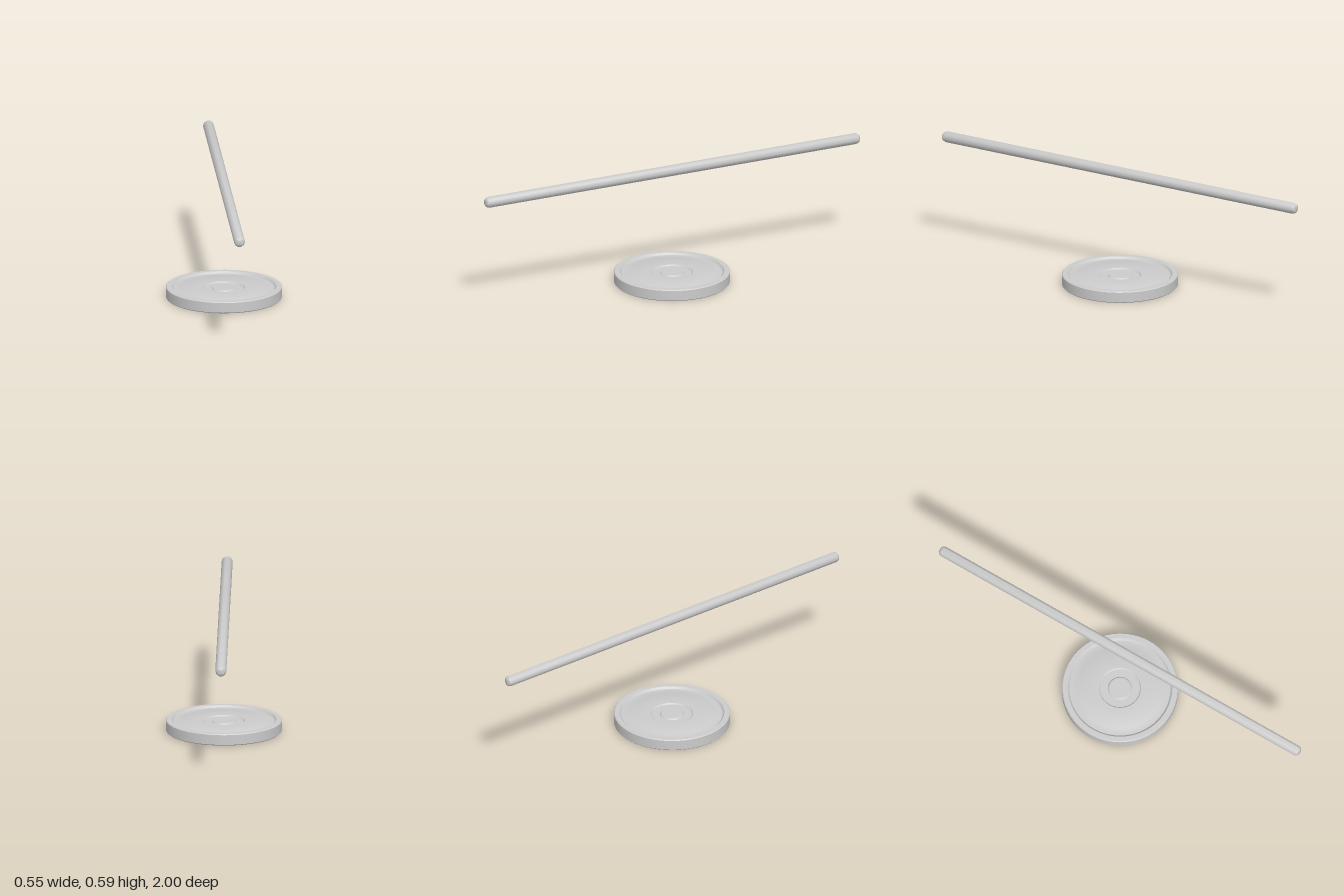
import * as THREE from 'three';
import { toCreasedNormals } from 'three/addons/utils/BufferGeometryUtils.js';

const material = new THREE.MeshStandardMaterial({ color: 0xcccccc });

// Turns a half profile [radius, height above the middle], listed from the
// centre outwards, into a solid that is mirrored top to bottom.
function turned(name, half, sides, start, crease) {
  const lower = half.map(([r, h]) => new THREE.Vector2(r, -h));
  const upper = half.map(([r, h]) => new THREE.Vector2(r, h)).reverse();
  const lathe = new THREE.LatheGeometry([...lower, ...upper], sides, start);
  const mesh = new THREE.Mesh(toCreasedNormals(lathe, crease), material);
  mesh.name = name;
  return mesh;
}

export function createModel() {
  const model = new THREE.Group();
  model.name = 'barAndWeightPlate';

  // Weight plate lying flat: hub, groove, panel, outer groove, raised rim
  const plate = turned('weightPlate', [
    [0, 0.021], [0.052, 0.021], [0.058, 0.015],
    [0.095, 0.015], [0.101, 0.021],
    [0.2, 0.021], [0.207, 0.018],
    [0.241, 0.018], [0.25, 0.028],
    [0.273, 0.028], [0.277, 0.024],
  ], 64, 0, 0.5);
  plate.position.y = 0.028;
  model.add(plate);

  // Ten-sided bar with rounded ends, running front to back above the plate
  const bar = turned('bar', [
    [0, 1], [0.0135, 1], [0.022, 0.994], [0.0265, 0.982],
  ], 10, Math.PI / 2, 0.75);
  bar.rotation.x = Math.PI / 2;
  bar.position.y = 0.564;
  model.add(bar);

  return model;
}
